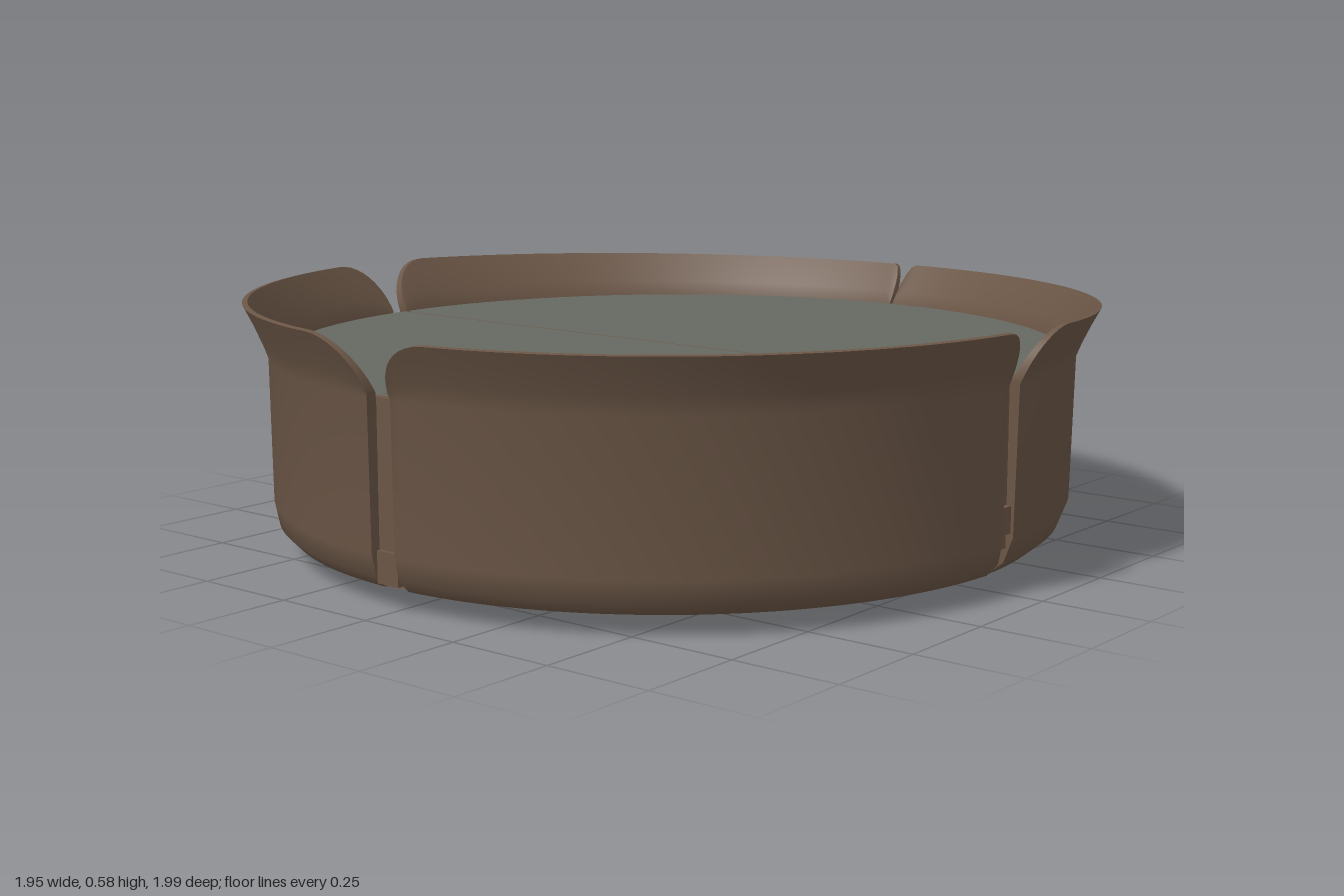
import * as THREE from 'three';
import { toCreasedNormals } from 'three/addons/utils/BufferGeometryUtils.js';

const brown = new THREE.MeshStandardMaterial({ color: 0x6b5646 });
brown.name = 'brown shell';
const grey = new THREE.MeshStandardMaterial({ color: 0x666862 });
grey.name = 'grey surface';

const SX = 0.98; // slightly narrower across x
const SHOULDER = 0.46;

// Closed profiles [radius, height, lip base radius]: underside, wall, flared lip, inner wall
const upper = [
  [0.945, SHOULDER], [0.96, 0.5, 0.945], [0.98, 0.545, 0.945], [1, 0.585, 0.945],
  [0.988, 0.587, 0.92], [0.962, 0.545, 0.92], [0.938, 0.5, 0.92], [0.92, SHOULDER],
  [0.905, 0.13], [0.86, 0.07], [0.02, 0.065],
];
const frontProfile = [[0.02, 0.04], [0.86, 0.04], [0.905, 0.052], [0.932, 0.08], [0.942, 0.13], ...upper];
const backProfile = [[0.02, 0.007], [0.6, 0.01], [0.8, 0.022], [0.875, 0.04], [0.915, 0.072], [0.938, 0.13], ...upper];

// One swept quarter; each end has a gap, a lip rounding width and an underside seam
function quarter(name, profile, t0, start, end) {
  const t1 = t0 + Math.PI / 2, N = 56, n = profile.length;
  const pos = [], index = [];
  for (let i = 0; i <= N; i++) {
    const u = 0.5 - 0.5 * Math.cos((Math.PI * i) / N); // denser at the ends
    for (const [r, y, base] of profile) {
      const a = t0 + (r > 0.87 ? start.gap : start.seam) / r;
      const b = t1 - (r > 0.87 ? end.gap : end.seam) / r;
      const t = a + (b - a) * u;
      let R = r, Y = y;
      if (base) {
        const round = (s, w) => Math.sqrt(Math.max(0, 1 - Math.max(0, 1 - s / w) ** 2));
        const h = Math.max(0.04, Math.min(round((t - a) * r, start.round), round((b - t) * r, end.round)));
        const dip = 1 - 0.22 * Math.max(0, -Math.cos(t)); // rim sinks toward the back
        R = base + (r - base) * h;
        Y = SHOULDER + (y - SHOULDER) * h * dip;
      }
      pos.push(R * Math.sin(t) * SX, Y, R * Math.cos(t));
    }
  }
  for (let i = 0; i < N; i++) {
    for (let j = 0; j < n; j++) {
      const k = (j + 1) % n, a = i * n + j, b = a + n, c = i * n + k, d = c + n;
      index.push(a, b, c, b, d, c);
    }
  }
  // End caps
  const tris = THREE.ShapeUtils.triangulateShape(profile.map(([r, y]) => new THREE.Vector2(r, y)), []);
  for (const [a, b, c] of tris) index.push(a, b, c, N * n + a, N * n + c, N * n + b);
  const geo = new THREE.BufferGeometry();
  geo.setAttribute('position', new THREE.Float32BufferAttribute(pos, 3));
  geo.setIndex(index);
  const mesh = new THREE.Mesh(toCreasedNormals(geo, 0.6), brown);
  mesh.name = name;
  return mesh;
}

export function createModel() {
  const model = new THREE.Group();
  model.name = 'splitRoundTray';
  const add = (name, geo, mat, x = 0, y = 0, z = 0) => {
    const m = new THREE.Mesh(geo, mat);
    m.name = name;
    m.position.set(x, y, z);
    model.add(m);
    return m;
  };

  // Shell quarters
  const seam = 0.004, P = Math.PI;
  const backSlit = { gap: 0.004, round: 0.03, seam: 0 };
  const backSide = { gap: 0.008, round: 0.12, seam };
  model.add(
    quarter('frontLeftShell', frontProfile, 0, { gap: 0.03, round: 0.14, seam }, { gap: 0.04, round: 0.07, seam }),
    quarter('backLeftShell', backProfile, P / 2, backSide, backSlit),
    quarter('backRightShell', backProfile, P, backSlit, backSide),
    quarter('frontRightShell', frontProfile, 1.5 * P, { gap: 0.04, round: 0.13, seam }, { gap: 0.04, round: 0.14, seam }),
  );

  // Core seen through the gaps
  const core = new THREE.CylinderGeometry(0.92, 0.92, 0.35, 96);
  core.scale(SX, 1, 1);
  add('core', core, brown, 0, 0.28, 0);
  const foot = new THREE.CylinderGeometry(0.9, 0.86, 0.06, 96);
  foot.scale(SX, 1, 1);
  add('coreFoot', foot, brown, 0, 0.08, 0);

  // Two half surfaces parted by a hairline seam
  for (const [name, start, z] of [['backSurface', 0, -0.003], ['frontSurface', P, 0.003]]) {
    const half = new THREE.CircleGeometry(0.918, 64, start, P);
    half.rotateX(-P / 2);
    half.scale(SX, 1, 1);
    add(name, half, grey, 0, 0.46, z);
  }

  // Short tapering crack at the front of the surface
  const crack = new THREE.ShapeGeometry(new THREE.Shape([
    new THREE.Vector2(0, -0.72), new THREE.Vector2(-0.006, -0.9), new THREE.Vector2(-0.035, -0.915),
    new THREE.Vector2(0.03, -0.915), new THREE.Vector2(0.006, -0.9),
  ]));
  crack.rotateX(-P / 2);
  add('frontCrack', crack, brown, 0, 0.463, 0);

  // Small lugs low in the gaps
  add('frontLug', new THREE.BoxGeometry(0.06, 0.07, 0.03), brown, -0.005, 0.1, 0.915);
  for (const s of [1, -1]) add('sideLug', new THREE.BoxGeometry(0.03, 0.06, 0.04), brown, s * 0.9, 0.17, 0.016);
  return model;
}
